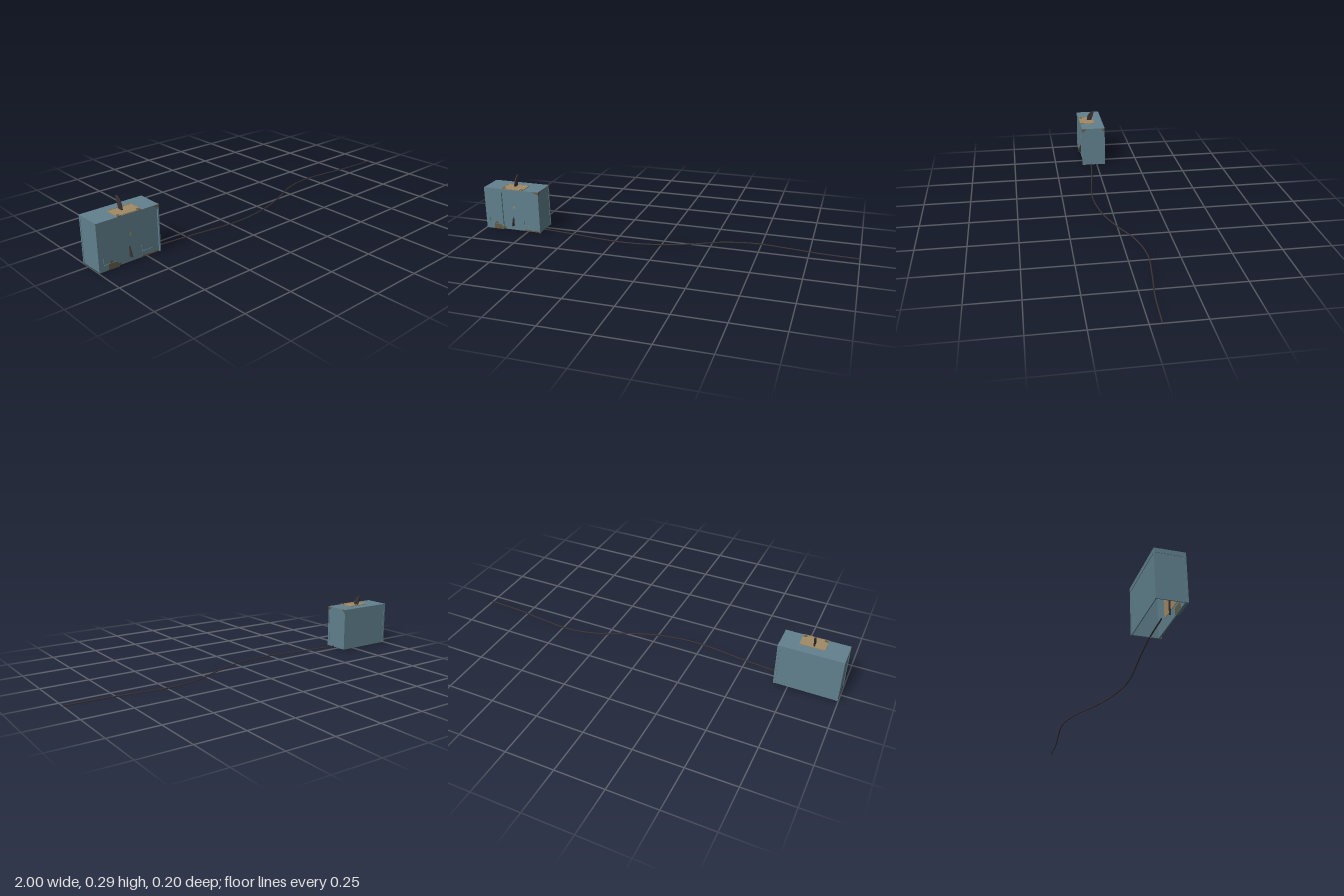
import * as THREE from 'three';

export function createModel() {
  const model = new THREE.Group();
  const mat = (name, color) => {
    const m = new THREE.MeshStandardMaterial({ color, side: THREE.DoubleSide });
    m.name = name;
    return m;
  };
  const blue = mat('slate blue', 0x61818e);
  const tan = mat('tan', 0xa08a66);
  const rust = mat('rust brown', 0x665b46);
  const dark = mat('charcoal', 0x3b3335);

  const add = (name, geometry, material) => {
    const mesh = new THREE.Mesh(geometry, material);
    mesh.name = name;
    model.add(mesh);
    return mesh;
  };
  // box given by its two extreme corners
  const box = (name, material, x0, x1, y0, y1, z0, z1) =>
    add(name, new THREE.BoxGeometry(x1 - x0, y1 - y0, z1 - z0), material)
      .position.set((x0 + x1) / 2, (y0 + y1) / 2, (z0 + z1) / 2);

  const L = -0.997, R = -0.676, B = -0.05, F = 0.088;
  const top = 0.233, seam = 0.212, step = 0.08, t = 0.006, split = -0.895;
  const inner = step - t, g = 0.002;

  // hollow case, open underneath, with a sunken panel on the front
  box('backWall', blue, L + g, R - g, 0, seam, B + g, B + t);
  box('rightWall', blue, L + g, L + t, 0, seam, B + t, F);
  box('leftWall', blue, R - t, R - g, 0, seam, B + t, F);
  box('frontStrip', blue, L + t, split, 0, seam, inner, F);
  box('frontPanel', blue, split, R - t, 0, seam, inner, step);
  box('lid', blue, L, R, seam, top, B, F);

  // raised posts framing the sides and back
  for (const [x0, x1] of [[L, L + 0.011], [R - 0.011, R]]) box('backPost', blue, x0, x1, 0, seam, B, B + g);
  for (const x of [L, R - g]) {
    box('sideBackPost', blue, x, x + g, 0, seam, B + g, -0.042);
    box('sideFrontPost', blue, x, x + g, 0, seam, 0.077, F);
  }

  // top plate with a thin rim and worn front corners
  const px0 = -0.89, px1 = -0.767, pz0 = 0.002, rim = top + 0.004;
  box('topPlate', tan, px0, px1, top, top + 0.002, pz0, F);
  for (const x of [px0, px1]) box('plateRim', tan, x - 0.001, x + 0.001, top, rim, pz0, 0.084);
  for (const z of [pz0, 0.083]) box('plateRim', tan, px0, px1, top, rim, z, z + 0.002);
  for (const x of [px0, px1 - 0.018]) box('plateCorner', rust, x, x + 0.018, top, top + 0.003, 0.068, F);

  // backing plate inside the front, with a dark divider and rust below
  box('backingPlate', tan, -0.93, -0.765, 0.05, 0.2, inner - 0.002, inner);
  box('backingDivider', dark, -0.842, -0.834, 0.03, 0.2, inner - 0.008, inner - 0.002);
  box('innerRust', rust, -0.945, -0.885, 0.004, 0.035, inner - 0.001, inner);

  // upright parts cut from a z, y outline
  const blade = (name, shape, width, x) => {
    const geo = new THREE.ExtrudeGeometry(shape, { depth: width, bevelEnabled: false, curveSegments: 10 });
    geo.rotateY(-Math.PI / 2);
    add(name, geo, dark).position.x = x + width / 2;
  };
  const fin = new THREE.Shape();
  fin.moveTo(0.041, top);
  fin.bezierCurveTo(0.041, 0.268, 0.022, 0.289, -0.005, 0.293);
  fin.quadraticCurveTo(0.004, 0.262, 0.014, top);
  blade('topFin', fin, 0.006, -0.835);
  const hook = new THREE.Shape();
  hook.moveTo(step, 0.075);
  hook.lineTo(0.09, 0.058);
  hook.lineTo(0.102, 0.028);
  hook.lineTo(step, 0.025);
  blade('frontHook', hook, 0.006, -0.835);

  // small corner ledges on the front
  for (const [x, z] of [[-0.973, F], [-0.773, step]]) {
    box('ledgePost', blue, x, x + 0.001, 0.03, 0.062, z, z + 0.003);
    box('ledge', blue, x, x + 0.055, 0.03, 0.031, z, z + 0.003);
  }
  box('frontStud', tan, -0.832, -0.821, 0.125, 0.137, step, step + 0.002);

  // rust patches as thin plates
  const patch = (name, pts, z) => {
    const s = new THREE.Shape(pts.map(p => new THREE.Vector2(...p)));
    add(name, new THREE.ExtrudeGeometry(s, { depth: 0.001, bevelEnabled: false }), rust).position.z = z;
  };
  patch('rustLowLeft', [[-0.953, 0], [-0.948, 0.03], [-0.935, 0.044], [-0.92, 0.028], [-0.907, 0.025], [split, 0.014], [split, 0]], F);
  patch('rustLowMiddle', [[split, 0], [split, 0.014], [-0.883, 0.012], [-0.878, 0]], step);
  patch('rustLowRight', [[-0.78, 0], [-0.77, 0.009], [-0.72, 0.006], [-0.69, 0.007], [-0.682, 0]], step);
  patch('rustLid', [[-0.71, 0.233], [-0.7, 0.227], [-0.685, 0.223], [R, 0.216], [R, 0.233]], F);

  // rust on the corners of the lid's side
  for (const [y0, y1, z0, z1] of [
    [0.226, top, 0.064, F], [0.219, 0.226, 0.07, F], [0.213, 0.219, 0.078, F],
    [0.226, top, B, -0.029], [0.219, 0.226, B, -0.034], [0.213, 0.219, B, -0.042]
  ]) box('lidRust', rust, R, R + 0.001, y0, y1, z0, z1);

  // cable winding along the ground
  const path = new THREE.CatmullRomCurve3([
    [-0.84, 0.03], [-0.68, 0.036], [-0.5, 0.053], [-0.2, 0.084], [0, 0.057], [0.15, 0.004],
    [0.3, -0.066], [0.46, -0.098], [0.65, -0.083], [0.8, -0.064], [1, -0.054]
  ].map(([x, z]) => new THREE.Vector3(x, 0.0035, z)));
  add('cable', new THREE.TubeGeometry(path, 80, 0.0035, 8), dark);

  return model;
}
